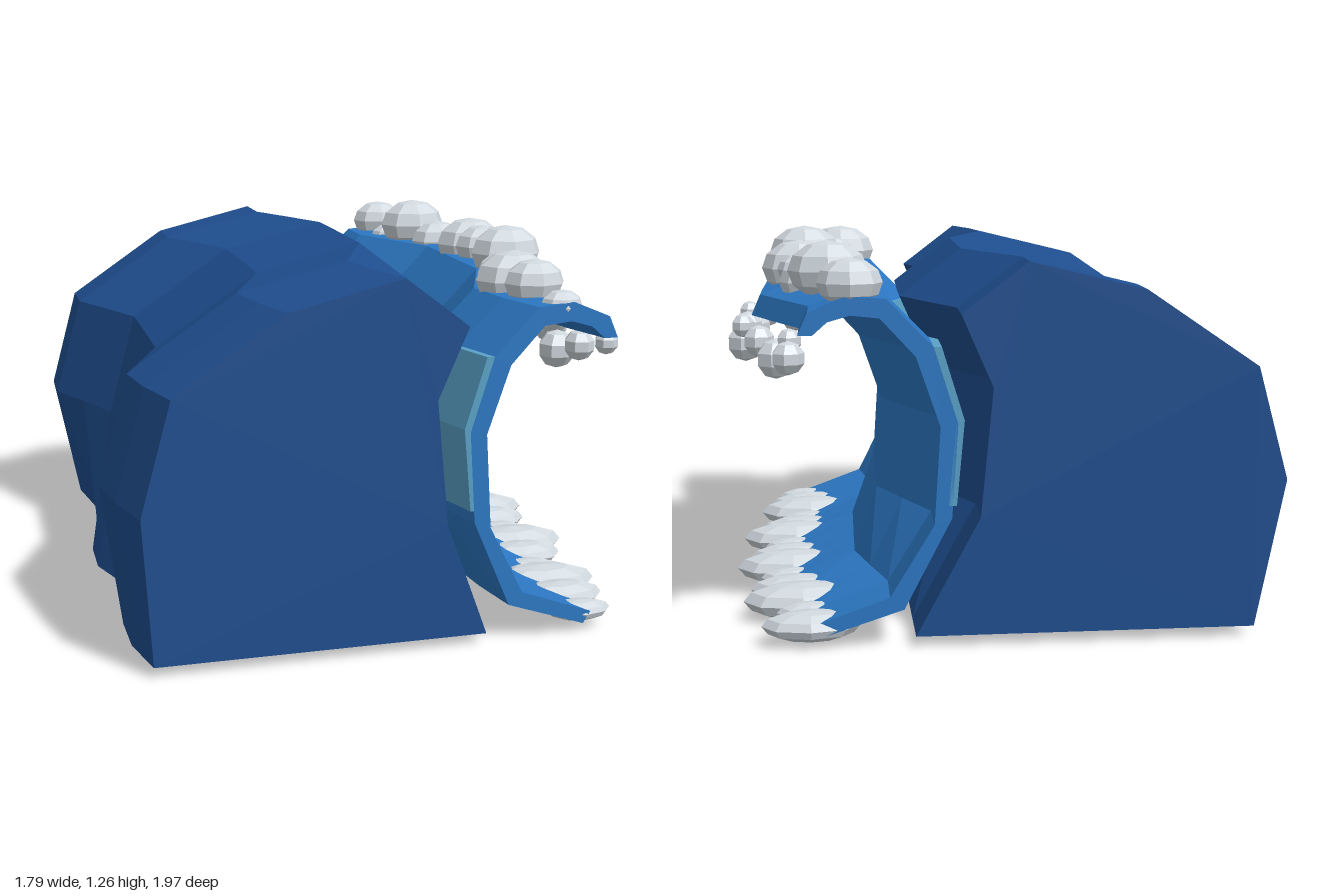
import * as THREE from 'three';

const deepBlue = new THREE.MeshStandardMaterial({ color: 0x1f4e8f });
const waveBlue = new THREE.MeshStandardMaterial({ color: 0x2c78c4 });
const paleBlue = new THREE.MeshStandardMaterial({ color: 0x5aa2c8 });
const foamWhite = new THREE.MeshStandardMaterial({ color: 0xd0d8de });
deepBlue.name = 'deepBlue';
waveBlue.name = 'waveBlue';
paleBlue.name = 'paleBlue';
foamWhite.name = 'foamWhite';
for (const m of [deepBlue, waveBlue, paleBlue, foamWhite]) m.flatShading = true;

// Sideways sway of the wave at eleven stations from back to front
const BACK = -0.96, FRONT = 0.98;
const SWAY = [-0.065, -0.068, 0.015, 0.093, 0.09, 0.085, 0.08, 0.003, -0.075, -0.05, 0];
// The rear foot of the wave meanders on its own
const FOOT = [0, 0.025, 0.05, 0, -0.045, -0.05, 0.01, 0.03, -0.04, -0.04, 0];
const LAST = SWAY.length - 1;

function swayAt(z) {
  const t = THREE.MathUtils.clamp((z - BACK) / (FRONT - BACK), 0, 1) * LAST;
  const i = Math.min(LAST - 1, Math.floor(t));
  return THREE.MathUtils.lerp(SWAY[i], SWAY[i + 1], t - i);
}

// Sweeps a closed counter-clockwise profile along z.
// Each point is [x, y, how much of the sway it follows, or its own offsets]
function sweep(name, profile, material) {
  const n = profile.length;
  const positions = [], index = [];
  for (let s = 0; s <= LAST; s++) {
    for (const [x, y, follow = 1] of profile) {
      const shift = Array.isArray(follow) ? follow[s] : follow * SWAY[s];
      positions.push(x + shift, y, THREE.MathUtils.lerp(BACK, FRONT, s / LAST));
    }
  }
  for (let s = 0; s < LAST; s++) {
    for (let i = 0; i < n; i++) {
      const a = s * n + i, b = s * n + (i + 1) % n;
      index.push(a, b, b + n, a, b + n, a + n);
    }
  }
  // End caps
  const outline = profile.map(([x, y]) => new THREE.Vector2(x, y));
  for (const [a, b, c] of THREE.ShapeUtils.triangulateShape(outline, [])) {
    index.push(a, c, b, LAST * n + a, LAST * n + b, LAST * n + c);
  }
  const indexed = new THREE.BufferGeometry();
  indexed.setAttribute('position', new THREE.Float32BufferAttribute(positions, 3));
  indexed.setIndex(index);
  const geometry = indexed.toNonIndexed();
  geometry.computeVertexNormals();
  const mesh = new THREE.Mesh(geometry, material);
  mesh.name = name;
  return mesh;
}

const foamGeometry = new THREE.SphereGeometry(1, 8, 6);
const beadGeometry = new THREE.SphereGeometry(1, 7, 5);

function blob(name, geometry, position, scale) {
  const mesh = new THREE.Mesh(geometry, foamWhite);
  mesh.name = name;
  mesh.position.set(...position);
  mesh.scale.set(...scale);
  return mesh;
}

export function createModel() {
  const wave = new THREE.Group();
  wave.name = 'wave';

  // Solid swell behind the curl
  wave.add(sweep('swell', [
    [-0.8, 0.04, FOOT], [0.29, 0.04, 0], [0.15, 0.42], [0.11, 0.83], [0.21, 1.06],
    [0, 1.22], [-0.37, 1.13], [-0.73, 0.885], [-0.83, 0.52],
  ], deepBlue));

  // Curling sheet: inner face upward, then outer face back down
  wave.add(sweep('curl', [
    [0.655, 0.08, 0.4], [0.41, 0.17, 0.6], [0.295, 0.4], [0.275, 0.71], [0.35, 0.93],
    [0.46, 1.05], [0.55, 1.06], [0.62, 1.04], [0.665, 1.0],
    [0.71, 1.0], [0.68, 1.07], [0.56, 1.12], [0.44, 1.11], [0.295, 0.96],
    [0.22, 0.72], [0.24, 0.42], [0.365, 0.13, 0.6], [0.63, 0.04, 0.4],
  ], waveBlue));

  // Pale band on the back of the curl
  wave.add(sweep('paleBand', [
    [0.25, 0.46], [0.225, 0.73], [0.295, 0.96], [0.27, 0.96], [0.2, 0.73], [0.225, 0.46],
  ], paleBlue));

  const crestFoam = new THREE.Group();
  crestFoam.name = 'crestFoam';
  const baseFoam = new THREE.Group();
  baseFoam.name = 'baseFoam';
  const lipBeads = new THREE.Group();
  lipBeads.name = 'lipBeads';

  const foamRadius = [0.058, 0.083, 0.105];
  const crestHeight = [1.1, 1.155, 1.145, 1.15, 1.12, 1.17];
  const beadRadius = [0.04, 0.053, 0.066];
  const beadHeight = [0.965, 0.93, 0.89];
  for (let i = 0; i < 14; i++) {
    const r = foamRadius[i % 3];
    const z = 0.925 - i * 0.14;
    const sway = swayAt(z);
    // Foam on the crest and flattened foam at the foot of the curl
    crestFoam.add(blob('crestBlob', foamGeometry,
      [0.55 + sway, crestHeight[i % 6], z], [r * 1.24, r * 0.92, r]));
    baseFoam.add(blob('baseBlob', foamGeometry,
      [0.645 + sway * 0.4, 0.068, z], [r * 1.9, r * 0.6, r]));
    // Droplets under the lip
    const b = beadRadius[i % 3];
    const bz = 0.885 - i * 0.1405;
    lipBeads.add(blob('lipBead', beadGeometry,
      [0.74 + swayAt(bz), beadHeight[i % 3], bz], [b, b, b]));
  }
  wave.add(crestFoam, baseFoam, lipBeads);
  return wave;
}
